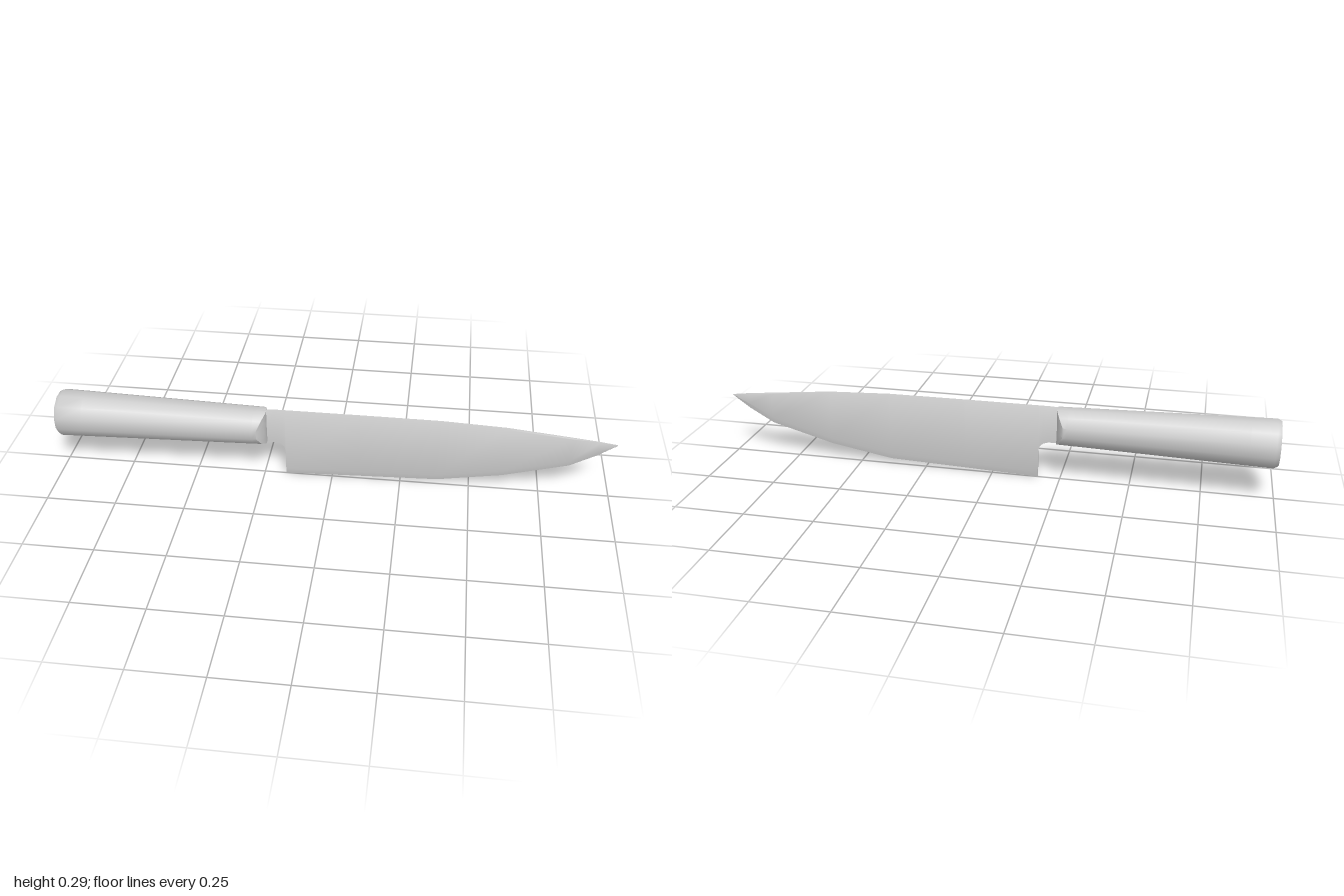
import * as THREE from 'three';
import { toCreasedNormals } from 'three/addons/utils/BufferGeometryUtils.js';

const material = new THREE.MeshStandardMaterial({ color: 0xcccccc });

// Tapered twelve-sided handle whose front end is rounded towards the blade
function createHandle() {
  const profile = [[0, -1], [0.079, -1], [0.086, -0.986], [0.084, -0.9], [0.069, -0.28],
    [0.068, -0.236], [0.055, -0.236], [0.035, -0.236], [0, -0.236]];
  const geometry = new THREE.LatheGeometry(
    profile.map(([r, x]) => new THREE.Vector2(r, x)), 12, Math.PI / 12);
  geometry.rotateZ(-Math.PI / 2);
  const p = geometry.attributes.position;
  for (let i = 0; i < p.count; i++) {
    // Bend the front face back at its sides
    if (p.getX(i) > -0.25) {
      const out = Math.max(0, Math.abs(p.getZ(i)) - 0.012);
      p.setX(i, p.getX(i) - 10 * out * out);
    }
  }
  geometry.translate(0, 0.207, 0);
  const mesh = new THREE.Mesh(toCreasedNormals(geometry, 0.75), material);
  mesh.name = 'handle';
  return mesh;
}

// Blade lofted along x; each section is [x, top, bottom, half thickness, edge bevel height]
function createBlade() {
  const sections = [
    [-0.27, 0.274, 0.142, 0.005, 0],
    [-0.205, 0.277, 0.14, 0.005, 0],
    [-0.187, 0.277, 0.134, 0.005, 0],
    [-0.175, 0.277, 0.122, 0.005, 0],
    [-0.17, 0.277, 0.105, 0.005, 0],
    [-0.17, 0.277, 0, 0.005, 0.022],
    [0.1, 0.277, 0.01, 0.005, 0.022],
    [0.385, 0.276, 0.02, 0.005, 0.022],
    [0.615, 0.266, 0.06, 0.005, 0.022],
    [0.845, 0.243, 0.124, 0.005, 0.022],
    [0.935, 0.234, 0.176, 0.004, 0.018],
    [1, 0.226, 0.223, 0.0008, 0.001],
  ];
  const n = 8, positions = [], index = [];
  for (const [x, top, bottom, t, bevel] of sections) {
    const chamfer = Math.min(0.004, (top - bottom) / 4);
    const edge = bevel > 0 ? 0 : t;
    const side = [[top, t * 0.6], [top - chamfer, t], [bottom + bevel, t], [bottom, edge]];
    for (const [y, z] of side) positions.push(x, y, z);
    for (const [y, z] of side.reverse()) positions.push(x, y, -z);
  }
  const last = (sections.length - 1) * n;
  for (let s = 0; s < last; s += n) {
    for (let i = 0; i < n; i++) {
      const j = (i + 1) % n;
      index.push(s + i, s + j, s + n + i, s + j, s + n + j, s + n + i);
    }
  }
  // Close both ends
  for (let i = 1; i < n - 1; i++) {
    index.push(0, i + 1, i, last, last + i, last + i + 1);
  }
  const geometry = new THREE.BufferGeometry();
  geometry.setAttribute('position', new THREE.Float32BufferAttribute(positions, 3));
  geometry.setIndex(index);
  const mesh = new THREE.Mesh(toCreasedNormals(geometry, 0.5), material);
  mesh.name = 'blade';
  return mesh;
}

export function createModel() {
  const group = new THREE.Group();
  group.name = 'kitchenKnife';
  group.add(createHandle(), createBlade());
  return group;
}
